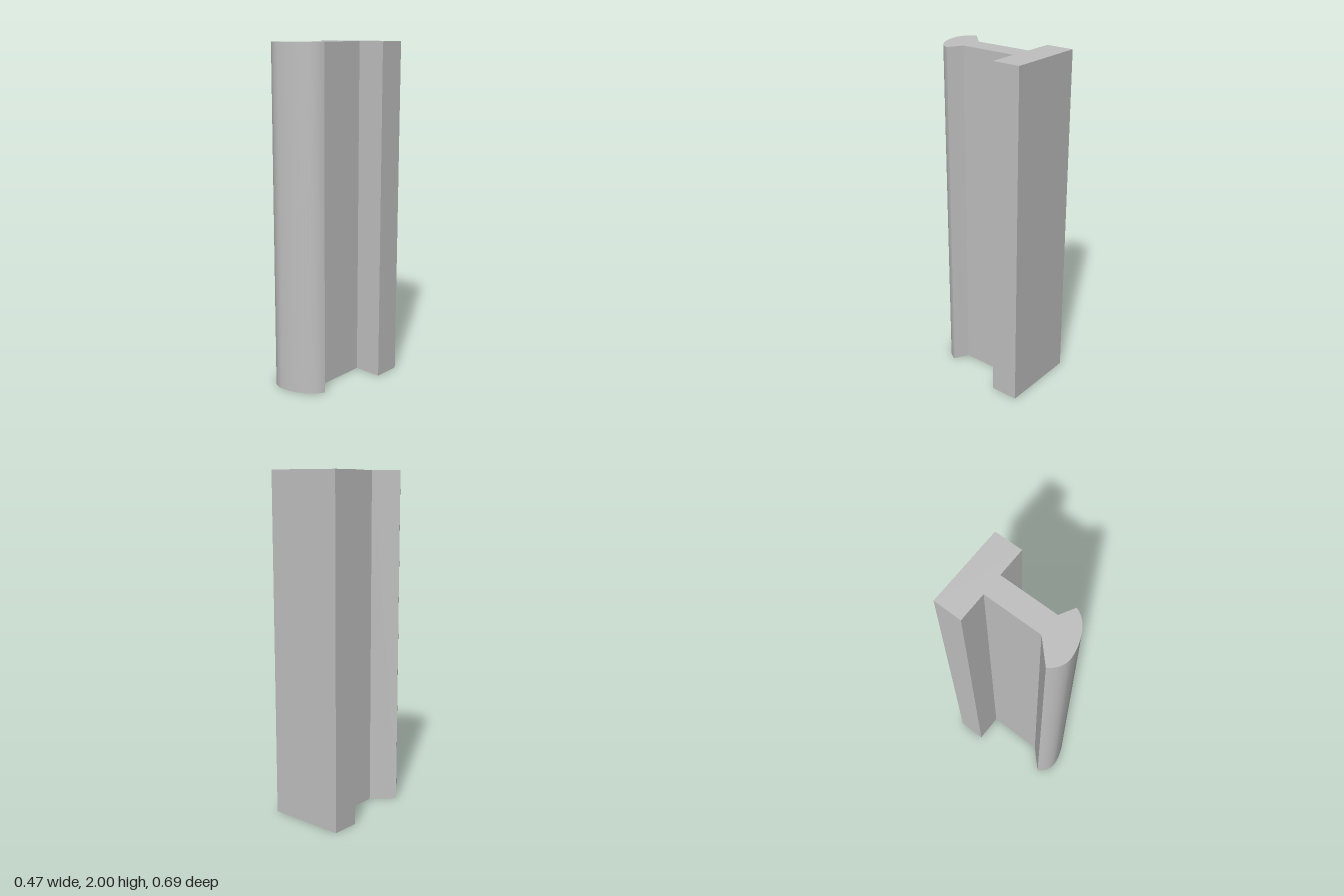
import * as THREE from 'three';
import { toCreasedNormals } from 'three/addons/utils/BufferGeometryUtils.js';

const HEIGHT = 2;

// Cross-section in plan; shape y is -z so that the extrusion can be turned upright
function railProfile() {
  const s = new THREE.Shape();
  // flat flange at the back
  s.moveTo(-0.234, 0.344);
  s.lineTo(-0.234, 0.178);
  // web, left-hand face in plan
  s.lineTo(-0.064, 0.178);
  s.lineTo(-0.064, -0.164);
  // skewed rounded head at the front
  s.lineTo(-0.182, -0.278);
  s.bezierCurveTo(-0.155, -0.32, -0.11, -0.347, -0.066, -0.342);
  s.bezierCurveTo(0.03, -0.333, 0.125, -0.285, 0.148, -0.211);
  // web, opposite face, and back to the flange
  s.lineTo(0.064, -0.164);
  s.lineTo(0.064, 0.178);
  s.lineTo(0.234, 0.178);
  s.lineTo(0.234, 0.344);
  s.closePath();
  return s;
}

export function createModel() {
  const grey = new THREE.MeshStandardMaterial({ color: 0xc0c0c0 });
  grey.name = 'light grey';

  const extrusion = new THREE.ExtrudeGeometry(railProfile(), {
    depth: HEIGHT,
    bevelEnabled: false,
    curveSegments: 12,
  });
  extrusion.rotateX(-Math.PI / 2);

  // smooth along the rounded head, sharp at the corners
  const rail = new THREE.Mesh(toCreasedNormals(extrusion, 0.5), grey);
  rail.name = 'rail';

  const model = new THREE.Group();
  model.name = 'railProfile';
  model.add(rail);
  return model;
}
